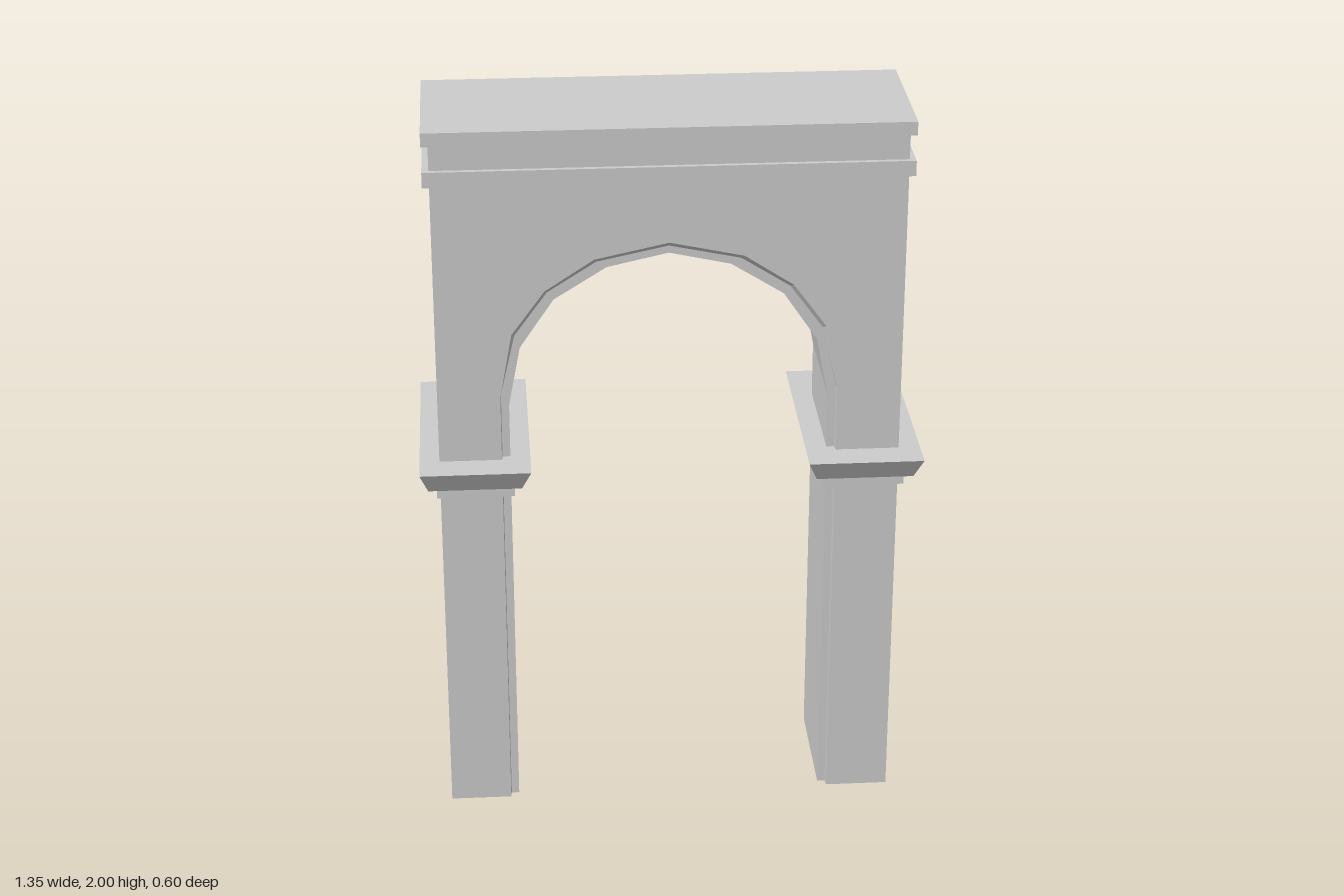
import * as THREE from 'three';

const material = new THREE.MeshStandardMaterial({ color: 0xcccccc, flatShading: true, side: THREE.DoubleSide });

function addMesh(parent, name, geometry) {
  const mesh = new THREE.Mesh(geometry, material);
  mesh.name = name;
  parent.add(mesh);
  return mesh;
}

// Skin a list of equal-length point rows with flat quads
function loft(rows, closed = false) {
  const pos = [];
  for (let i = 0; i < rows.length - 1; i++) {
    const n = rows[i].length;
    for (let j = 0; j < (closed ? n : n - 1); j++) {
      const k = (j + 1) % n;
      const a = rows[i][j], b = rows[i][k], c = rows[i + 1][k], d = rows[i + 1][j];
      pos.push(...a, ...b, ...c, ...a, ...c, ...d);
    }
  }
  const g = new THREE.BufferGeometry();
  g.setAttribute('position', new THREE.Float32BufferAttribute(pos, 3));
  g.computeVertexNormals();
  return g;
}

const atZ = (path, z) => path.map(([x, y]) => [x, y, z]);
const rect = (y, x0, x1, z0, z1) => [[x0, y, z1], [x1, y, z1], [x1, y, z0], [x0, y, z0]];

// Opening outline: mirrored half arch, including the straight jambs
const CENTRE = -0.006;
function opening(half, apex) {
  const left = half.map(([x, y]) => [CENTRE - x, y]);
  const right = half.map(([x, y]) => [CENTRE + x, y]).reverse();
  return [...left, [CENTRE, apex], ...right];
}
const outer = opening([[0.449, 0], [0.449, 1.25], [0.416, 1.43], [0.327, 1.552], [0.196, 1.638]], 1.68);
const middle = opening([[0.447, 0], [0.447, 1.25], [0.408, 1.42], [0.32, 1.541], [0.19, 1.624]], 1.664);
const inner = opening([[0.426, 0], [0.426, 1.22], [0.394, 1.385], [0.303, 1.52], [0.163, 1.608]], 1.644);

// Body extents
const X0 = -0.622, X1 = 0.614, Z0 = -0.168, Z1 = 0.212, TOP = 1.97, STEP = 0.02;

export function createModel() {
  const model = new THREE.Group();
  model.name = 'archway';

  // Front and back faces, side walls
  const body = new THREE.Group();
  body.name = 'body';
  model.add(body);
  const outline = [[X0, 0], ...outer, [X1, 0], [X1, TOP], [X0, TOP]];
  const shape = new THREE.Shape(outline.map(([x, y]) => new THREE.Vector2(x, y)));
  addMesh(body, 'frontFace', new THREE.ShapeGeometry(shape)).position.z = Z1;
  addMesh(body, 'backFace', new THREE.ShapeGeometry(shape)).position.z = Z0;
  const shell = [[X1, 0], [X1, TOP], [X0, TOP], [X0, 0]];
  addMesh(body, 'sideWalls', loft([atZ(shell, Z0), atZ(shell, Z1)]));

  // Arch reveal with a stepped edge front and back
  addMesh(model, 'archReveal', loft([
    atZ(outer, Z0), atZ(middle, Z0 + STEP), atZ(inner, Z0 + STEP),
    atZ(inner, Z1 - STEP), atZ(middle, Z1 - STEP), atZ(outer, Z1),
  ]));

  // Cornice bands
  for (const [name, y0, y1] of [['lowerCornice', 1.852, 1.894], ['topCornice', 1.963, 2]]) {
    const band = addMesh(model, name, new THREE.BoxGeometry(1.27, y1 - y0, 0.412));
    band.position.set(-0.005, (y0 + y1) / 2, 0.019);
  }

  // Flared capitals wrapped around each pier
  const capitals = [
    ['rightCapital', [-0.6, -0.46], [-0.632, -0.423], [-0.654, -0.404], [-0.675, -0.379]],
    ['leftCapital', [0.45, 0.59], [0.407, 0.63], [0.388, 0.65], [0.363, 0.672]],
  ];
  for (const [name, core, band, flareLow, flareTop] of capitals) {
    addMesh(model, name, loft([
      rect(0.96, ...core, -0.14, 0.18),
      rect(0.96, ...band, -0.214, 0.218),
      rect(1.002, ...band, -0.214, 0.218),
      rect(1.002, ...flareLow, -0.257, 0.257),
      rect(1.067, ...flareTop, -0.298, 0.298),
      rect(1.067, ...core, -0.14, 0.18),
    ], true));
  }
  return model;
}
